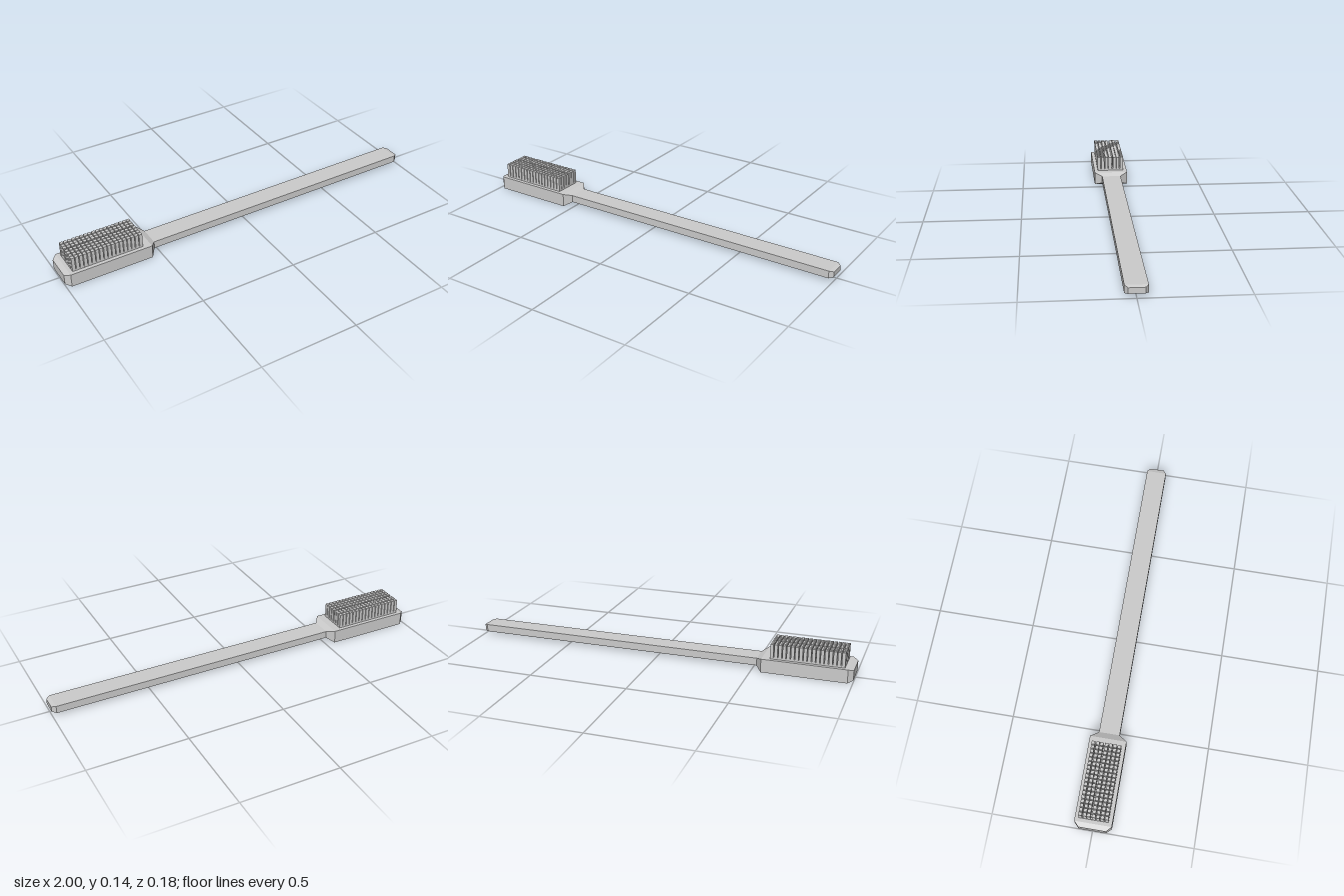
import * as THREE from 'three';
import { mergeGeometries } from 'three/addons/utils/BufferGeometryUtils.js';

const material = new THREE.MeshStandardMaterial({ color: 0xcccccc, flatShading: true });

// Lofts rectangular sections [x, bottom, top, halfDepth] along x, capped at both ends.
function loft(sections) {
  const points = [];
  const index = [];
  for (const [x, y0, y1, d] of sections) {
    points.push(x, y0, -d, x, y0, d, x, y1, d, x, y1, -d);
  }
  const last = (sections.length - 1) * 4;
  for (let s = 0; s < last; s += 4) {
    for (let k = 0; k < 4; k++) {
      const a = s + k;
      const b = s + ((k + 1) % 4);
      index.push(a, a + 4, b + 4, a, b + 4, b);
    }
  }
  index.push(0, 1, 2, 0, 2, 3, last, last + 2, last + 1, last, last + 3, last + 2);
  const indexed = new THREE.BufferGeometry();
  indexed.setAttribute('position', new THREE.Float32BufferAttribute(points, 3));
  indexed.setIndex(index);
  const geometry = indexed.toNonIndexed();
  geometry.computeVertexNormals();
  return geometry;
}

export function createModel() {
  const group = new THREE.Group();
  const add = (name, geometry) => {
    const mesh = new THREE.Mesh(geometry, material);
    mesh.name = name;
    group.add(mesh);
  };

  // Head with bevelled end, necking down to a long flat handle with a bevelled tip
  add('headAndHandle', loft([
    [-1, 0.009, 0.06, 0.068],
    [-0.975, 0, 0.069, 0.092],
    [-0.55, 0, 0.069, 0.092],
    [-0.52, 0.017, 0.055, 0.052],
    [0.98, 0.017, 0.055, 0.052],
    [1, 0.022, 0.05, 0.037],
  ]));

  // Thin pad the bristles grow from
  const x0 = -0.957, x1 = -0.59;
  const pad = new THREE.BoxGeometry(x1 - x0, 0.012, 0.145);
  pad.translate((x0 + x1) / 2, 0.072, 0);
  add('bristlePad', pad);

  // Grid of square bristles
  const columns = 18, width = 0.0165;
  const rows = [-0.064, -0.042, -0.023, 0.0015, 0.0225, 0.044, 0.0645];
  const bristles = [];
  for (let i = 0; i < columns; i++) {
    const x = x0 + width / 2 + (i * (x1 - x0 - width)) / (columns - 1);
    for (const z of rows) {
      const bristle = new THREE.BoxGeometry(width, 0.07, 0.017);
      bristle.translate(x, 0.11, z);
      bristles.push(bristle);
    }
  }
  add('bristles', mergeGeometries(bristles));

  return group;
}
